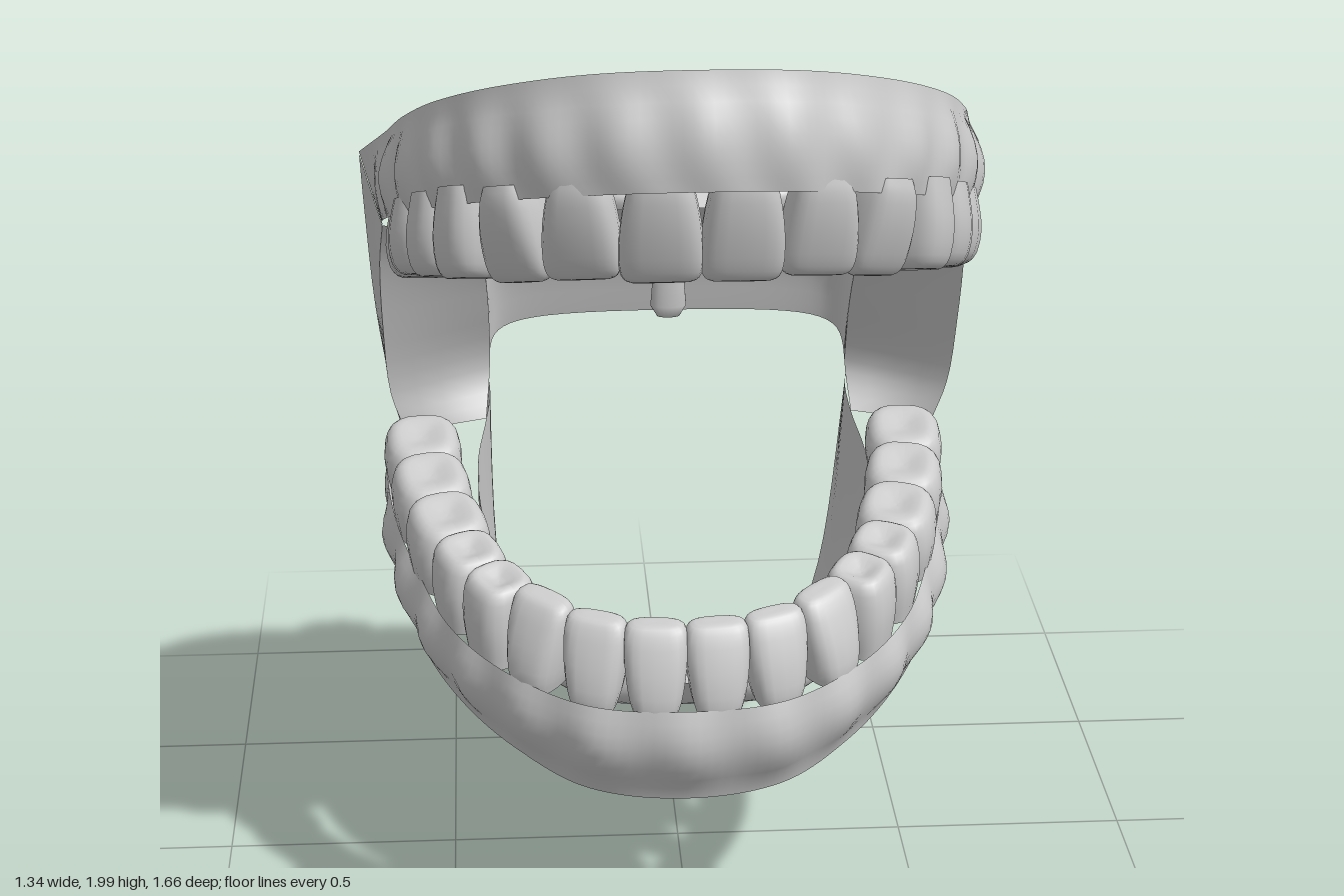
import * as THREE from 'three';

const material = new THREE.MeshStandardMaterial({ color: 0xcccccc, side: THREE.DoubleSide });
const curve = pts => new THREE.CatmullRomCurve3(pts.map(p => new THREE.Vector3(...p)));
const mirrored = pts => [...pts.slice(1).reverse().map(([x, y, z]) => [-x, y, z]), ...pts];

function mesh(name, geometry) {
  const m = new THREE.Mesh(geometry, material);
  m.name = name;
  return m;
}

// Smooth grid surface: fn(u, v) returns [x, y, z] for u, v in 0..1
function sheet(name, nu, nv, fn) {
  const pos = [], index = [];
  for (let i = 0; i <= nu; i++) for (let j = 0; j <= nv; j++) pos.push(...fn(i / nu, j / nv));
  for (let i = 0; i < nu; i++) for (let j = 0; j < nv; j++) {
    const a = i * (nv + 1) + j, b = a + nv + 1;
    index.push(a, b, a + 1, b, b + 1, a + 1);
  }
  const g = new THREE.BufferGeometry();
  g.setAttribute('position', new THREE.Float32BufferAttribute(pos, 3));
  g.setIndex(index);
  g.computeVertexNormals();
  return mesh(name, g);
}

// Vaulted skin between a centre line and mirrored edges; rows are [centreZ, centreY, halfWidth, edgeZ, edgeY]
function vault(name, rows, power) {
  const centre = curve(rows.map(r => [0, r[1], r[0]]));
  const edge = curve(rows.map(r => [r[2], r[4], r[3]]));
  return sheet(name, 40, 32, (u, v) => {
    const c = centre.getPoint(u), e = edge.getPoint(u);
    const s = v * 2 - 1, a = Math.abs(s), f = a ** power;
    return [
      Math.sign(s) * e.x * (1 - (1 - a) ** 3),
      c.y + (e.y - c.y) * f,
      c.z + (e.z - c.z) * f ** 1.6,
    ];
  });
}

// Outer gum band around the arch, from gum line to free edge, bulging over the tooth roots
function gum(name, line, free, bulge) {
  const a = curve(mirrored(line)), b = curve(mirrored(free));
  return sheet(name, 128, 8, (u, v) => {
    const p = a.getPoint(u), q = b.getPoint(u).sub(p).multiplyScalar(v).add(p);
    const out = new THREE.Vector2(q.x, Math.max(q.z, 0)).normalize();
    const fade = Math.min(1, 8 * Math.min(u, 1 - u));
    const d = Math.sin(Math.PI * Math.min(1, v * 1.1)) * (bulge + 0.008 * Math.cos(u * Math.PI * 32)) * fade;
    return [q.x + out.x * d, q.y, q.z + out.y * d];
  });
}

// Tooth crown, open at the root: dir is -1 for upper and 1 for lower, slope tilts it with the jaw
function tooth(width, depth, height, dir, slope, angle, molar) {
  const rings = molar
    ? [[-0.25, 0.82, 0.85], [0.1, 0.95, 0.95], [0.45, 1, 1], [0.8, 0.96, 0.92], [0.95, 0.82, 0.76], [0.98, 0.6, 0.55], [0.9, 0.25, 0.2], [0.88, 0, 0]]
    : [[-0.18, 0.7, 0.85], [0.05, 0.85, 1], [0.4, 0.97, 0.95], [0.75, 1, 0.72], [0.92, 0.93, 0.52], [0.99, 0.75, 0.35], [1, 0, 0]];
  const profile = curve(rings);
  const rot = THREE.MathUtils.degToRad(angle);
  const power = t => Math.sign(t) * Math.abs(t) ** 0.7;
  return sheet('tooth', 14, 20, (u, v) => {
    const r = profile.getPoint(u), t = v * Math.PI * 2;
    const lx = power(Math.cos(t)) * r.y * width / 2;
    const lz = power(Math.sin(t)) * r.z * depth / 2 - (molar ? 0 : 0.015 * r.x);
    const x = lx * Math.cos(rot) + lz * Math.sin(rot);
    const z = -lx * Math.sin(rot) + lz * Math.cos(rot);
    return [x, dir * r.x * height + slope * z, z];
  });
}

// Row of teeth: [x, z, width, depth, height, angle], mirrored across x
function teeth(name, list, dir, baseY, slope) {
  const g = new THREE.Group();
  g.name = name;
  list.forEach(([x, z, w, d, h, angle], i) => {
    for (const side of [-1, 1]) {
      const t = tooth(w, d, h, dir, slope, side * angle, i > 2);
      t.position.set(side * x, baseY + slope * z, z);
      g.add(t);
    }
  });
  return g;
}

export function createModel() {
  const model = new THREE.Group();
  model.name = 'openMouth';

  // Upper jaw
  const upper = new THREE.Group();
  upper.name = 'upperJaw';
  const upperLine = [[0, 0.82], [0.2, 0.785], [0.37, 0.68], [0.49, 0.52], [0.57, 0.3], [0.61, 0.1], [0.62, -0.1]];
  const upperFree = [[0, 0.77], [0.2, 0.74], [0.37, 0.62], [0.49, 0.45], [0.56, 0.25], [0.6, 0.05], [0.67, -0.26]];
  upper.add(gum('upperGum',
    upperLine.map(([x, z]) => [x, 1.47 + 0.38 * z, z]),
    upperFree.map(([x, z]) => [x, 1.66 + 0.44 * z, z]), 0.02));
  upper.add(teeth('upperTeeth', [
    [0.077, 0.755, 0.16, 0.11, 0.17, 5], [0.225, 0.72, 0.15, 0.11, 0.16, 18],
    [0.345, 0.64, 0.14, 0.13, 0.16, 42], [0.425, 0.54, 0.13, 0.15, 0.15, 60],
    [0.47, 0.425, 0.135, 0.17, 0.14, 70], [0.5, 0.29, 0.17, 0.19, 0.13, 78],
    [0.512, 0.125, 0.17, 0.19, 0.13, 85], [0.512, -0.035, 0.16, 0.19, 0.115, 90],
  ], -1, 1.47, 0.38));

  // Palate running back into the soft palate
  upper.add(vault('palate', [
    [0.69, 1.71, 0.04, 0.69, 1.71], [0.64, 1.74, 0.2, 0.63, 1.69], [0.5, 1.77, 0.33, 0.5, 1.65],
    [0.28, 1.78, 0.39, 0.28, 1.57], [0.1, 1.71, 0.42, 0.1, 1.5], [-0.1, 1.58, 0.42, -0.1, 1.4],
    [-0.3, 1.4, 0.41, -0.2, 1.33], [-0.42, 1.24, 0.4, -0.3, 1.17], [-0.46, 1.1, 0.4, -0.38, 1.0],
  ], 2.2));

  // Uvula
  const uvula = mesh('uvula', new THREE.LatheGeometry(
    [[0, 1.12], [0.025, 1.125], [0.04, 1.15], [0.036, 1.2], [0.045, 1.25], [0.075, 1.31], [0.1, 1.35]]
      .map(p => new THREE.Vector2(...p)), 20));
  uvula.scale.z = 0.5;
  uvula.position.z = -0.35;
  upper.add(uvula);
  model.add(upper);

  // Lower jaw, slightly shifted to one side
  const lower = new THREE.Group();
  lower.name = 'lowerJaw';
  lower.position.x = -0.02;
  lower.add(gum('lowerGum',
    [[0, 0.66, 0.69], [0.2, 0.665, 0.66], [0.36, 0.69, 0.55], [0.47, 0.72, 0.4], [0.54, 0.76, 0.2],
      [0.59, 0.8, 0], [0.61, 0.84, -0.2], [0.6, 0.88, -0.3]],
    [[0, 0.44, 0.64], [0.2, 0.45, 0.6], [0.34, 0.49, 0.5], [0.45, 0.53, 0.36], [0.53, 0.58, 0.2],
      [0.56, 0.62, 0], [0.58, 0.66, -0.22], [0.6, 0.77, -0.46]], 0.03));
  lower.add(teeth('lowerTeeth', [
    [0.062, 0.635, 0.13, 0.11, 0.15, 4], [0.182, 0.605, 0.13, 0.11, 0.15, 18],
    [0.29, 0.53, 0.135, 0.13, 0.15, 40], [0.37, 0.43, 0.135, 0.14, 0.14, 58],
    [0.43, 0.31, 0.145, 0.15, 0.13, 68], [0.475, 0.165, 0.18, 0.17, 0.12, 75],
    [0.51, 0, 0.185, 0.17, 0.11, 80], [0.53, -0.165, 0.18, 0.17, 0.1, 86],
  ], 1, 0.8, -0.2));
  model.add(lower);

  // Mouth floor opening into the throat channel
  model.add(vault('mouthFloorAndThroat', [
    [0.58, 0.67, 0.04, 0.58, 0.67], [0.53, 0.6, 0.2, 0.52, 0.68], [0.4, 0.56, 0.31, 0.4, 0.71],
    [0.2, 0.55, 0.38, 0.2, 0.75], [0, 0.48, 0.42, 0, 0.79], [-0.2, 0.36, 0.43, -0.2, 0.85],
    [-0.4, 0.23, 0.41, -0.32, 0.9], [-0.6, 0.08, 0.4, -0.36, 0.95], [-0.83, 0.01, 0.41, -0.4, 1.0],
  ], 2.4));

  // Cheek: front panel from throat edge to fold, then outer flap running back
  const inner = curve([[0.42, 1.4, -0.1], [0.41, 1.33, -0.2], [0.4, 1.17, -0.3], [0.4, 1, -0.38], [0.41, 0.9, -0.32]]);
  const fold = curve([[0.62, 1.43, -0.1], [0.63, 1.33, -0.15], [0.63, 1.15, -0.22], [0.62, 0.98, -0.28], [0.59, 0.88, -0.3]]);
  const back = curve([[0.67, 1.54, -0.26], [0.665, 1.4, -0.31], [0.65, 1.15, -0.37], [0.62, 0.92, -0.43], [0.59, 0.77, -0.46]]);
  for (const side of [-1, 1]) {
    const strip = (name, a, b) => sheet(name, 16, 4, (u, v) => {
      const p = a.getPoint(u).lerp(b.getPoint(u), v);
      return [side * p.x, p.y, p.z];
    });
    const cheek = new THREE.Group();
    cheek.name = side > 0 ? 'leftCheek' : 'rightCheek';
    cheek.add(strip('cheekPanel', inner, fold), strip('cheekFlap', fold, back));
    model.add(cheek);
  }
  return model;
}
